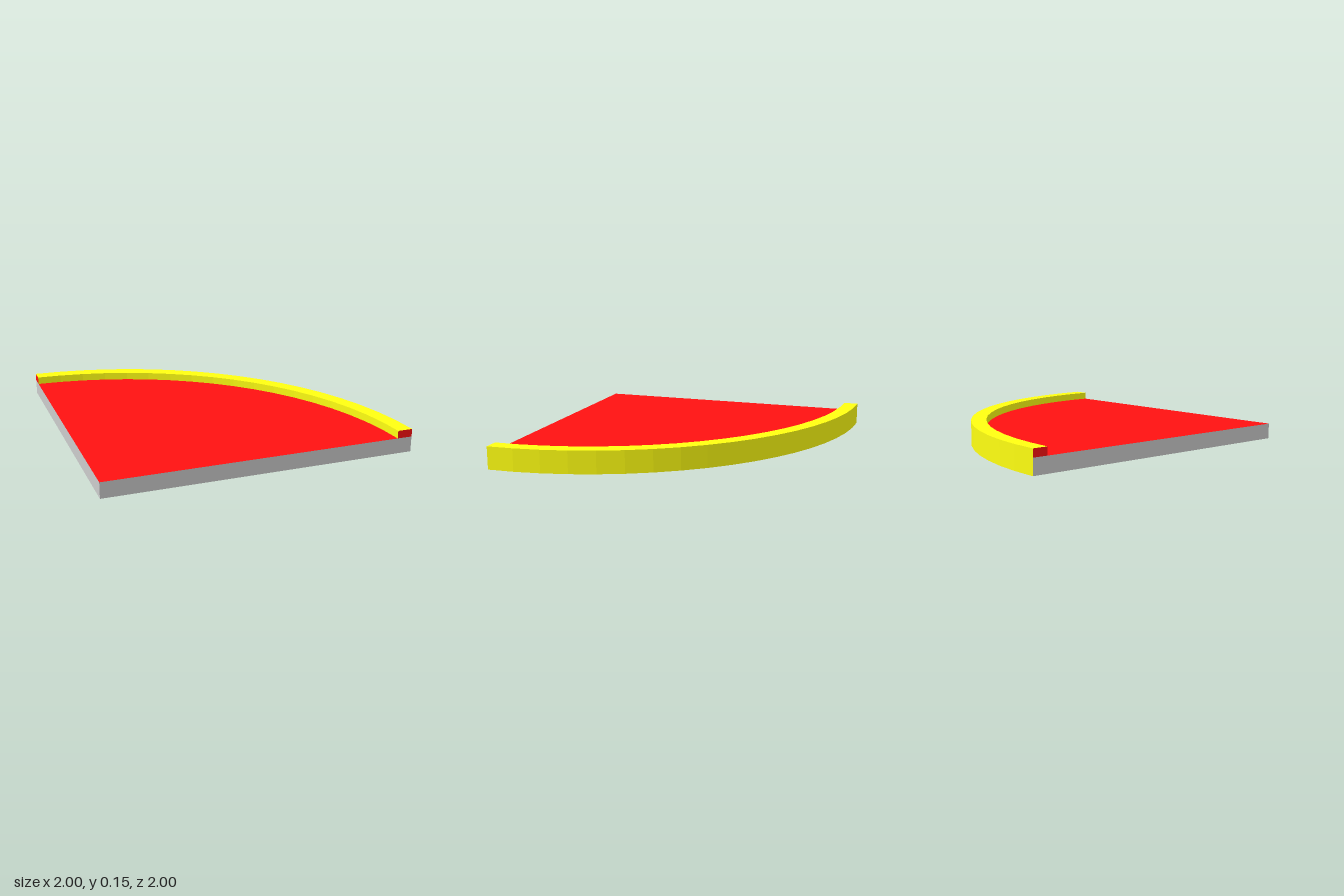
import * as THREE from 'three';

const R = 2, INNER = 1.9, FLOOR = 0.1, TOP = 0.15, SEGMENTS = 18;

export function createModel() {
  const model = new THREE.Group();
  model.name = 'quarterCircleTile';
  // the centre of the arc sits in the front corner
  const tile = new THREE.Group();
  tile.name = 'tile';
  tile.position.set(-1, 0, 1);
  model.add(tile);

  const material = (color) => new THREE.MeshStandardMaterial({ color, flatShading: true });
  const grey = material(0xcccccc), red = material(0xff1111), yellow = material(0xffff11);

  const add = (name, geometry, mat) => {
    const mesh = new THREE.Mesh(geometry, mat);
    mesh.name = name;
    tile.add(mesh);
    return mesh;
  };

  // raised curb: outer wall, top and inner wall swept along the arc
  const profile = [[R, 0], [R, TOP], [INNER, TOP], [INNER, FLOOR]].map(([x, y]) => new THREE.Vector2(x, y));
  add('curb', new THREE.LatheGeometry(profile, SEGMENTS, Math.PI / 2, Math.PI / 2), yellow);

  // red floor and grey underside
  const floor = new THREE.CircleGeometry(INNER, SEGMENTS, 0, Math.PI / 2).rotateX(-Math.PI / 2);
  add('floor', floor.translate(0, FLOOR, 0), red);
  add('underside', new THREE.CircleGeometry(R, SEGMENTS, -Math.PI / 2, Math.PI / 2).rotateX(Math.PI / 2), grey);

  // straight edges: grey slab side with the red cut end of the curb above it
  const sidePlane = (x0, x1, y0, y1) =>
    new THREE.PlaneGeometry(x1 - x0, y1 - y0).translate((x0 + x1) / 2, (y0 + y1) / 2, 0);
  add('frontEdge', sidePlane(0, R, 0, FLOOR), grey);
  add('frontCurbEnd', sidePlane(INNER, R, FLOOR, TOP), red);
  add('sideEdge', sidePlane(-R, 0, 0, FLOOR).rotateY(-Math.PI / 2), grey);
  add('sideCurbEnd', sidePlane(-R, -INNER, FLOOR, TOP).rotateY(-Math.PI / 2), red);

  return model;
}
